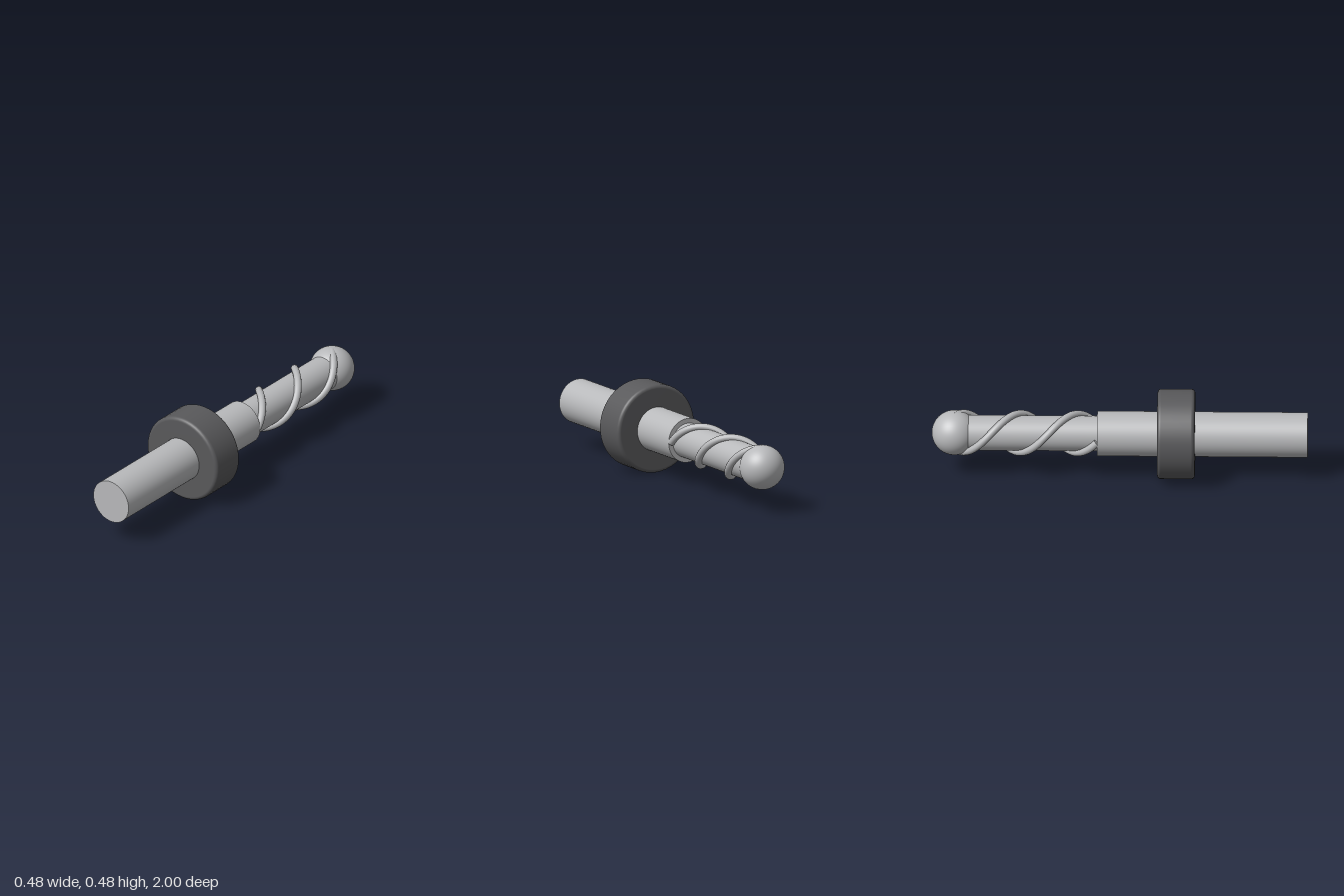
import * as THREE from 'three';

const AXIS_Y = 0.24;

// Helical path winding backwards round the core
class Helix extends THREE.Curve {
  constructor(radius, zStart, zEnd, turns, phase) {
    super();
    Object.assign(this, { radius, zStart, zEnd, turns, phase });
  }
  getPoint(t, target = new THREE.Vector3()) {
    const a = this.phase + t * this.turns * Math.PI * 2;
    return target.set(
      Math.cos(a) * this.radius,
      Math.sin(a) * this.radius,
      THREE.MathUtils.lerp(this.zStart, this.zEnd, t)
    );
  }
}

export function createModel() {
  const steel = new THREE.MeshStandardMaterial({ color: 0xb8b9bb });
  steel.name = 'steel';
  const darkGrey = new THREE.MeshStandardMaterial({ color: 0x59595b });
  darkGrey.name = 'darkGrey';

  const model = new THREE.Group();
  model.name = 'ballEndMill';

  const add = (name, geometry, material, parent = model) => {
    const mesh = new THREE.Mesh(geometry, material);
    mesh.name = name;
    parent.add(mesh);
    return mesh;
  };

  // Round bar lying along z
  const bar = (name, radius, z0, z1) => {
    const g = new THREE.CylinderGeometry(radius, radius, z1 - z0, 48);
    g.rotateX(Math.PI / 2);
    add(name, g, steel).position.set(0, AXIS_Y, (z0 + z1) / 2);
  };
  bar('shank', 0.12, -0.12, 1);
  bar('core', 0.094, -0.88, -0.1);

  // Ball nose
  const ball = new THREE.SphereGeometry(0.12, 48, 32);
  ball.rotateX(Math.PI / 2);
  add('ballNose', ball, steel).position.set(0, AXIS_Y, -0.88);

  // Depth collar with rounded rims
  const R = 0.24, half = 0.1, r = 0.02;
  const profile = [new THREE.Vector2(0, -half)];
  for (const side of [-1, 1]) {
    for (let i = 0; i <= 6; i++) {
      const a = (side < 0 ? i / 6 - 1 : i / 6) * Math.PI / 2;
      profile.push(new THREE.Vector2(R - r + Math.cos(a) * r, side * (half - r) + Math.sin(a) * r));
    }
  }
  profile.push(new THREE.Vector2(0, half));
  const collar = new THREE.LatheGeometry(profile, 48);
  collar.rotateX(Math.PI / 2);
  add('collar', collar, darkGrey).position.set(0, AXIS_Y, 0.3);

  // Two opposite cutting flutes with flat ends
  const tubeR = 0.02;
  [0, Math.PI].forEach((phase, i) => {
    const flute = new THREE.Group();
    flute.name = i ? 'fluteB' : 'fluteA';
    flute.position.y = AXIS_Y;
    const path = new Helix(0.102, -0.12, -0.88, 1.25, phase);
    add('fluteRidge', new THREE.TubeGeometry(path, 120, tubeR, 12), steel, flute);
    for (const t of [0, 1]) {
      const cap = add('fluteEnd', new THREE.CircleGeometry(tubeR, 12), steel, flute);
      const out = path.getTangent(t).multiplyScalar(t ? 1 : -1);
      cap.position.copy(path.getPoint(t));
      cap.quaternion.setFromUnitVectors(new THREE.Vector3(0, 0, 1), out);
    }
    model.add(flute);
  });

  return model;
}
